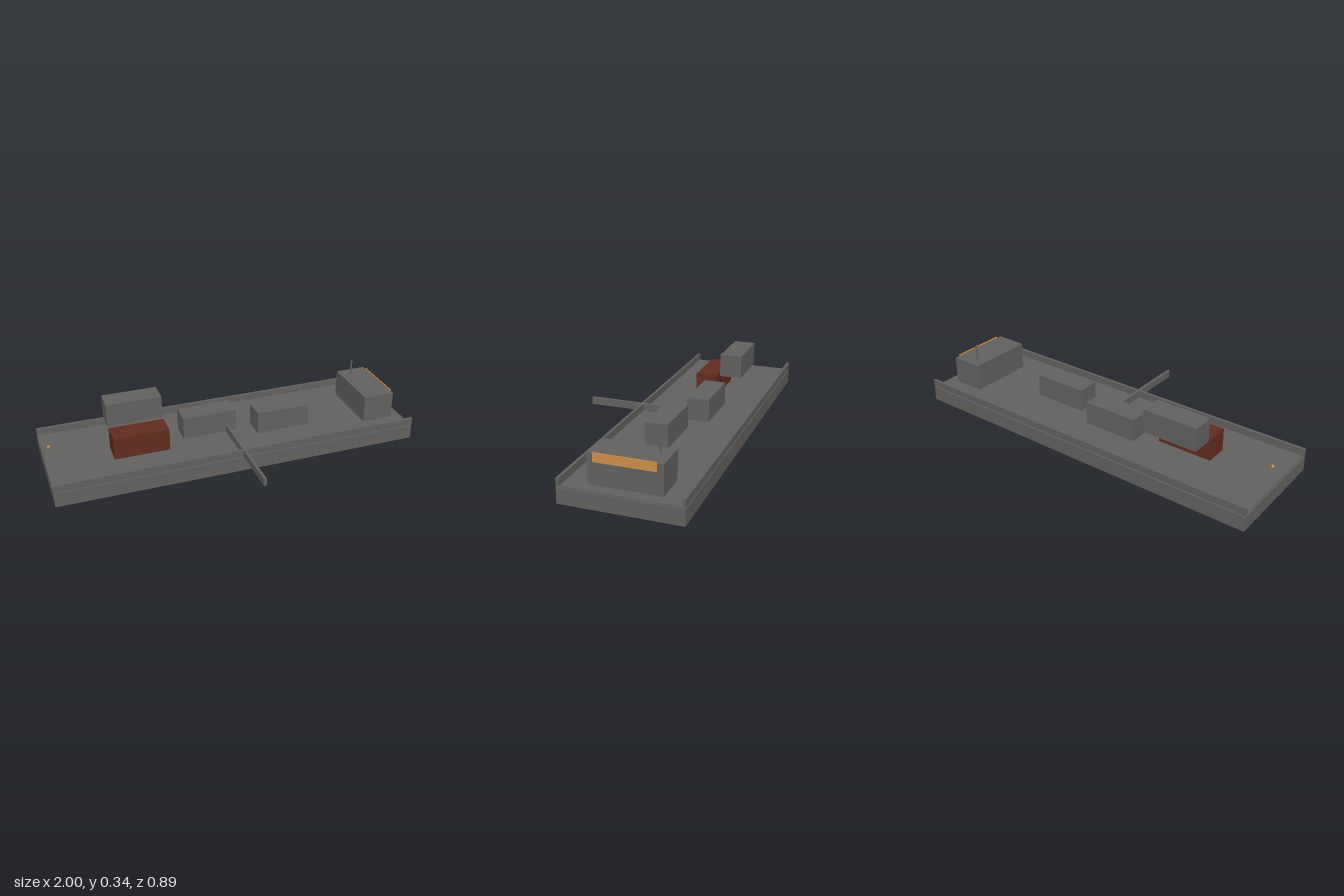
import * as THREE from 'three';

const material = (name, color) => {
  const m = new THREE.MeshStandardMaterial({ color });
  m.name = name;
  return m;
};

export function createModel() {
  const grey = material('steel grey', 0x646260);
  const rust = material('rust red', 0x642c20);
  const amber = material('amber', 0xce9048);
  const black = material('black', 0x050505);

  const model = new THREE.Group();
  model.name = 'cargoBarge';

  const add = (name, geometry, mat, x, y, z) => {
    const mesh = new THREE.Mesh(geometry, mat);
    mesh.name = name;
    mesh.position.set(x, y, z);
    model.add(mesh);
  };
  // Box given by its ranges on each axis
  const box = (name, mat, [x0, x1], [y0, y1], [z0, z1]) =>
    add(name, new THREE.BoxGeometry(x1 - x0, y1 - y0, z1 - z0), mat,
      (x0 + x1) / 2, (y0 + y1) / 2, (z0 + z1) / 2);

  const middle = -0.145; // centre line of the hull

  // Hull with a black underside and a slightly inset deck plate
  box('hull', [grey, grey, grey, black, grey, grey],
    [-1, 1], [0, 0.08], [middle - 0.3, middle + 0.3]);
  box('deck', grey, [-0.993, 0.993], [0.08, 0.086], [middle - 0.29, middle + 0.29]);

  // Low walls along both long edges
  for (const side of [-1, 1]) {
    const z = middle + side * 0.293;
    box(side > 0 ? 'frontBulwark' : 'backBulwark', grey,
      [-1, 1], [0.086, 0.125], [z - 0.007, z + 0.007]);
  }

  // Cargo containers: x centre, bottom, z centre, colour
  const containers = [
    [-0.5, 0.085, -0.105, rust],
    [-0.5, 0.21, -0.245, grey],
    [-0.1, 0.085, -0.185, grey],
    [0.3, 0.085, -0.105, grey],
  ];
  for (const [x, y, z, mat] of containers) {
    box('container', mat, [x - 0.15, x + 0.15], [y, y + 0.125], [z - 0.06, z + 0.06]);
  }

  // Boom reaching out over the side
  box('boom', grey, [-0.008, 0.008], [0.086, 0.125], [middle, 0.446]);

  // Deckhouse with a thin window band and a mast
  box('deckhouse', grey, [0.76, 0.935], [0.085, 0.236], [-0.325, 0.033]);
  box('windowBand', amber, [0.933, 0.937], [0.197, 0.243], [-0.295, 0.005]);
  add('mast', new THREE.CylinderGeometry(0.005, 0.005, 0.09, 24), grey, 0.82, 0.276, -0.265);

  // Small lamp above the far end
  add('lamp', new THREE.SphereGeometry(0.008, 24, 16), amber, -0.97, 0.173, middle);

  return model;
}
